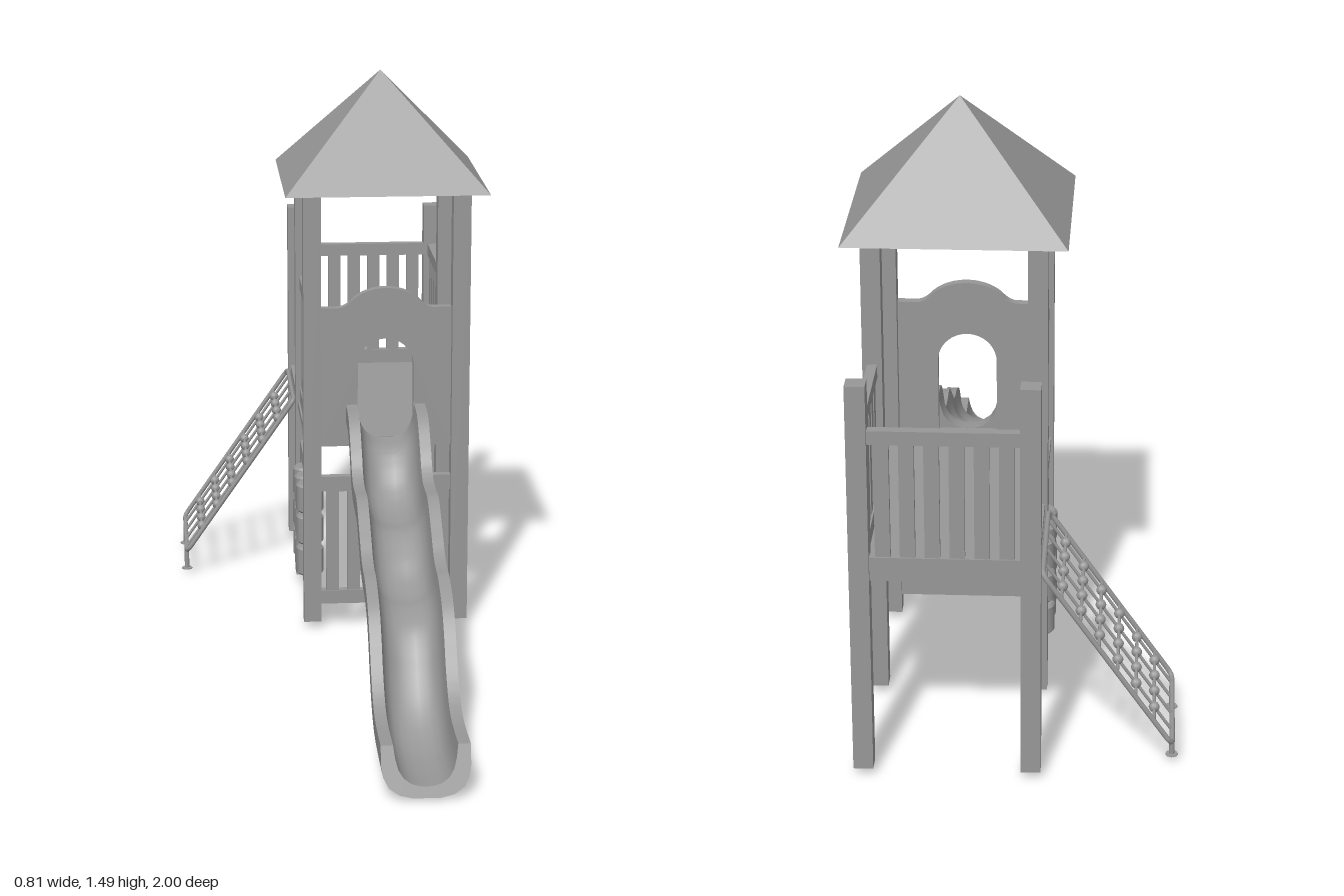
import * as THREE from 'three';
import { toCreasedNormals } from 'three/addons/utils/BufferGeometryUtils.js';

const V = (x, y, z) => new THREE.Vector3(x, y, z);
const CX = 0.139;                       // middle of the tower in x
const PX = [-0.058, 0.336];             // post centres in x
const PZ = [-0.19, -0.58, -0.975];      // post centres in z
const POST = 0.047;

export function createModel() {
  const root = new THREE.Group();
  const mat = new THREE.MeshStandardMaterial({ color: 0x979797 });
  const flat = new THREE.MeshStandardMaterial({ color: 0x979797, flatShading: true });

  const add = (name, geo, parent = root, m = mat) => {
    const mesh = new THREE.Mesh(geo, m);
    mesh.name = name;
    parent.add(mesh);
    return mesh;
  };
  const group = (name) => {
    const g = new THREE.Group();
    g.name = name;
    root.add(g);
    return g;
  };
  const box = (name, x0, x1, y0, y1, z0, z1, parent) =>
    add(name, new THREE.BoxGeometry(x1 - x0, y1 - y0, z1 - z0), parent)
      .position.set((x0 + x1) / 2, (y0 + y1) / 2, (z0 + z1) / 2);
  // round rod between two points
  const rod = (name, a, b, r, parent) => {
    const m = add(name, new THREE.CylinderGeometry(r, r, a.distanceTo(b), 8), parent);
    m.position.lerpVectors(a, b, 0.5);
    m.quaternion.setFromUnitVectors(V(0, 1, 0), b.clone().sub(a).normalize());
  };
  // bent tube through points with rounded corners
  const pipe = (name, pts, r, bend, closed, parent) => {
    const path = new THREE.CurvePath();
    const n = pts.length;
    const near = (p, q) => p.clone().add(q.clone().sub(p).setLength(bend));
    let last = closed ? near(pts[0], pts[1]) : pts[0];
    const stops = closed ? [...pts.slice(1), pts[0]] : pts.slice(1, -1);
    stops.forEach((p, i) => {
      const next = closed ? pts[(i + 2) % n] : pts[i + 2];
      const a = near(p, last), b = near(p, next);
      path.add(new THREE.LineCurve3(last, a));
      path.add(new THREE.QuadraticBezierCurve3(a, p, b));
      last = b;
    });
    if (!closed) path.add(new THREE.LineCurve3(last, pts[n - 1]));
    add(name, new THREE.TubeGeometry(path, 120, r, 8, closed), parent);
  };

  // posts: four tall ones under the roof, two short ones at the back
  PZ.forEach((z, k) => PX.forEach((x) =>
    box(k < 2 ? 'towerPost' : 'backPost', x - POST / 2, x + POST / 2, 0.02, k < 2 ? 1.2 : 1, z - POST / 2, z + POST / 2)));

  // roof
  const roof = add('roof', new THREE.ConeGeometry(0.267 * Math.SQRT2, 0.289, 4, 1).rotateY(Math.PI / 4), root, flat);
  roof.position.set(0.137, 1.198 + 0.289 / 2, -0.382);

  // floor slab
  box('floor', -0.075, 0.345, 0.51, 0.53, -0.985, -0.18);

  // slatted railing built along x, then turned and placed
  const railing = (name, x, z, alongZ, [b0, b1], [t0, t1]) => {
    const g = group(name), half = 0.174;
    box('bottomRail', -half, half, b0, b1, -0.012, 0.012, g);
    box('topRail', -half, half, t0, t1, -0.012, 0.012, g);
    for (let i = 0; i < 6; i++) {
      const c = (i - 2.5) * 0.057;
      box('slat', c - 0.0175, c + 0.0175, b1, t0, -0.008, 0.008, g);
    }
    g.position.set(x, 0, z);
    if (alongZ) g.rotation.y = Math.PI / 2;
  };
  // the tower bay stays open on its left side
  const zFront = (PZ[0] + PZ[1]) / 2, zBack = (PZ[1] + PZ[2]) / 2, top = [0.853, 0.887];
  railing('towerRailing', PX[0], zFront, true, [0.527, 0.57], top);
  railing('sideRailing', PX[1], zBack, true, [0.513, 0.57], top);
  railing('backRailing', CX, PZ[2], false, [0.513, 0.57], top);
  railing('lowerFrontRailing', CX, PZ[0], false, [0.067, 0.104], [0.384, 0.425]);

  // front panel with a domed top and an arched doorway
  const panel = new THREE.Shape();
  panel.moveTo(-0.174, 0.51);
  panel.lineTo(0.174, 0.51);
  panel.lineTo(0.174, 0.888);
  panel.lineTo(0.125, 0.888);
  panel.quadraticCurveTo(0.108, 0.889, 0.092, 0.905);
  panel.bezierCurveTo(0.048, 0.953, -0.048, 0.953, -0.092, 0.905);
  panel.quadraticCurveTo(-0.108, 0.889, -0.125, 0.888);
  panel.lineTo(-0.174, 0.888);
  const door = new THREE.Path();
  door.moveTo(-0.074, 0.535);
  door.lineTo(-0.074, 0.73);
  door.absarc(0, 0.73, 0.074, Math.PI, 0, true);
  door.lineTo(0.074, 0.535);
  panel.holes.push(door);
  add('frontPanel', new THREE.ExtrudeGeometry(panel, { depth: 0.024, bevelEnabled: false, curveSegments: 20 }))
    .position.set(CX - 0.002, 0, PZ[0] - 0.012);

  // game panel: frame with nine turning drums
  const game = group('gamePanel');
  const points = (list) => list.map((p) => new THREE.Vector2(...p));
  const frame = new THREE.Shape(points([[-0.174, 0.062], [0.174, 0.062], [0.174, 0.418], [-0.174, 0.418]]));
  frame.holes.push(new THREE.Path(points([[-0.121, 0.112], [-0.121, 0.378], [0.121, 0.378], [0.121, 0.112]])));
  add('frame', new THREE.ExtrudeGeometry(frame, { depth: 0.024, bevelEnabled: false }), game).position.z = -0.012;
  const drumProfile = points([[0, -0.04], [0.031, -0.04], [0.037, -0.034], [0.037, 0.034], [0.031, 0.04], [0, 0.04]]);
  const drumGeo = toCreasedNormals(new THREE.LatheGeometry(drumProfile, 24), 0.6);
  for (let i = -1; i <= 1; i++) {
    rod('axle', V(i * 0.08, 0.11, 0), V(i * 0.08, 0.38, 0), 0.005, game);
    for (let j = -1; j <= 1; j++) add('drum', drumGeo, game).position.set(i * 0.08, 0.242 + j * 0.089, 0);
  }
  game.position.set(PX[0], 0, zFront);
  game.rotation.y = Math.PI / 2;

  // grab handles beside the net opening
  [[PZ[1], -0.67], [PZ[2], -0.888]].forEach(([z0, z1]) =>
    pipe('grabHandle', [V(-0.05, 0.812, z0), V(-0.05, 0.812, z1), V(-0.05, 0.525, z1)], 0.007, 0.015, false));

  // climbing net on a sloping tube frame
  const net = group('climbingNet');
  const at = (s, z) => V(-0.084 - 0.306 * s, 0.518 - 0.441 * s, z);
  const zA = -0.615, zB = -0.953;
  pipe('netFrame', [at(0, zA), at(1, zA), at(1, zB), at(0, zB)], 0.0065, 0.02, true, net);
  const ropeZ = [-0.659, -0.734, -0.809, -0.886];
  const knot = new THREE.SphereGeometry(0.013, 10, 8);
  ropeZ.forEach((z) => rod('longRope', at(0, z), at(1, z), 0.004, net));
  for (let i = 1; i < 7; i++) {
    rod('crossRope', at(i / 7, zA), at(i / 7, zB), 0.004, net);
    ropeZ.forEach((z) => add('knot', knot, net).position.copy(at(i / 7, z)));
  }
  [ropeZ[0], ropeZ[3]].forEach((z) => {
    rod('netFoot', V(-0.39, 0.013, z), V(-0.39, 0.077, z), 0.0065, net);
    rod('footPlate', V(-0.39, 0.012, z), V(-0.39, 0.015, z), 0.015, net);
  });

  // wavy slide: a trough section swept between a keel line and a rim line, given as [z, y]
  const line = (pts) => new THREE.CatmullRomCurve3(pts.map(([z, y]) => V(0, y, z)));
  const keel = line([[-0.175, 0.508], [-0.112, 0.497], [-0.08, 0.472], [-0.035, 0.421], [0.03, 0.38], [0.11, 0.363],
    [0.18, 0.358], [0.245, 0.328], [0.315, 0.28], [0.385, 0.256], [0.445, 0.249], [0.5, 0.23], [0.545, 0.188],
    [0.582, 0.135], [0.645, 0.068], [0.715, 0.025], [0.795, 0.005], [0.9, 0.001], [1.0, 0.007]]);
  const rim = line([[-0.175, 0.625], [-0.085, 0.612], [-0.01, 0.552], [0.035, 0.504], [0.07, 0.485], [0.12, 0.48],
    [0.2, 0.478], [0.305, 0.417], [0.36, 0.381], [0.405, 0.367], [0.47, 0.36], [0.565, 0.321], [0.622, 0.268],
    [0.666, 0.206], [0.714, 0.158], [0.757, 0.132], [0.81, 0.12], [0.88, 0.119], [0.955, 0.122]]);
  const right = [[0.033, 0], [0.064, 0.06], [0.088, 0.19], [0.1, 0.38], [0.105, 0.6], [0.105, 1],
    [0.076, 1], [0.072, 0.75], [0.065, 0.53], [0.053, 0.37], [0.036, 0.27], [0.014, 0.22]];
  const section = [...right, ...right.map(([x, v]) => [-x, v]).reverse()];
  const n = section.length, steps = 110, pos = [], index = [];
  for (let k = 0; k <= steps; k++) {
    const a = keel.getPoint(k / steps), b = rim.getPoint(k / steps);
    for (const [x, v] of section) {
      const p = a.clone().lerp(b, v);
      pos.push(0.137 + x, p.y, p.z);
    }
  }
  for (let k = 0; k < steps; k++) for (let i = 0; i < n; i++) {
    const j = (i + 1) % n, a = k * n + i, b = k * n + j;
    index.push(a, b, b + n, a, b + n, a + n);
  }
  // closed ends
  const outline = points(section.map(([x, v]) => [x, v * 0.115]));
  for (const [a, b, c] of THREE.ShapeUtils.triangulateShape(outline, [])) {
    index.push(c, b, a, steps * n + a, steps * n + b, steps * n + c);
  }
  const slide = new THREE.BufferGeometry();
  slide.setAttribute('position', new THREE.Float32BufferAttribute(pos, 3));
  slide.setIndex(index);
  add('slide', toCreasedNormals(slide, 0.8));

  return root;
}
